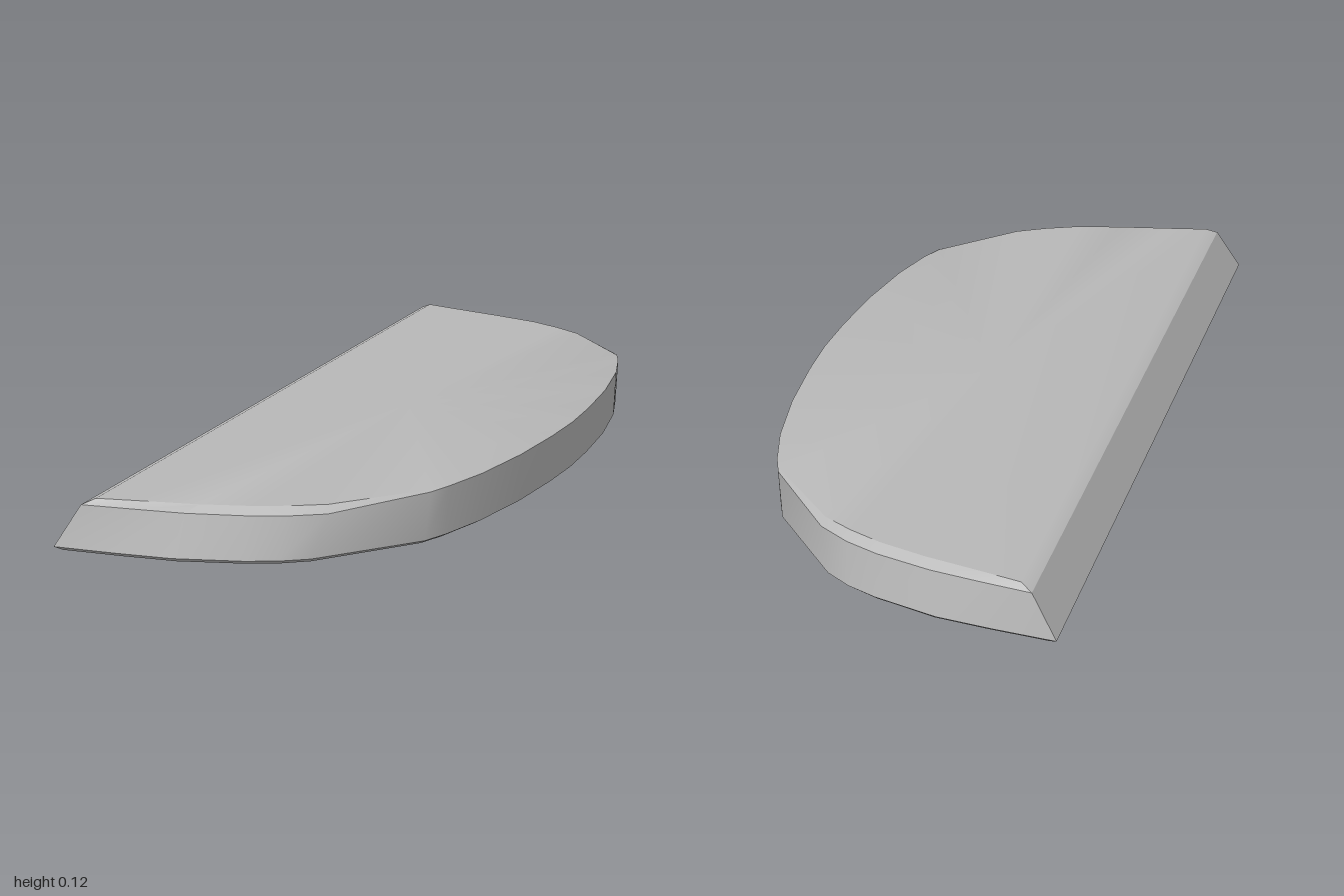
import * as THREE from 'three';
import { toCreasedNormals } from 'three/addons/utils/BufferGeometryUtils.js';

// Half of the rim, from the straight edge to the crown of the curve:
// lower edge x, z | upper edge x, y, z | top face x, y, z
const RIM = [
  [-0.425, 1.0, -0.365, 0.107, 0.98, -0.337, 0.12, 0.963],
  [-0.28, 0.988, -0.25, 0.107, 0.965, -0.24, 0.12, 0.942],
  [-0.15, 0.973, -0.13, 0.106, 0.945, -0.11, 0.12, 0.915],
  [0.0, 0.93, 0.0, 0.106, 0.91, 0.0, 0.121, 0.885],
  [0.07, 0.9, 0.08, 0.105, 0.875, 0.08, 0.121, 0.85],
  [0.13, 0.86, 0.155, 0.104, 0.825, 0.15, 0.121, 0.81],
  [0.31, 0.65, 0.32, 0.12, 0.64, 0.315, 0.123, 0.635],
  [0.335, 0.59, 0.342, 0.121, 0.585, 0.338, 0.123, 0.582],
  [0.37, 0.47, 0.375, 0.121, 0.47, 0.371, 0.123, 0.467],
  [0.4, 0.3, 0.404, 0.121, 0.3, 0.4, 0.123, 0.298],
  [0.415, 0.13, 0.419, 0.121, 0.13, 0.415, 0.123, 0.13],
  [0.42, 0, 0.424, 0.121, 0, 0.42, 0.123, 0],
];

// Mirror a half ring across z = 0
function fullRing(half) {
  const mirrored = half.slice(0, -1).reverse().map(([x, y, z]) => [x, y, -z]);
  return [...half, ...mirrored];
}

function createSlabGeometry() {
  const rings = [
    RIM.map((p) => [p[0] * 0.96, 0, p[1] * 0.988]),
    RIM.map((p) => [p[0], 0.009, p[1]]),
    RIM.map((p) => [p[2], p[3], p[4]]),
    RIM.map((p) => [p[5], p[6], p[7]]),
  ].map(fullRing);
  const n = rings[0].length;
  const positions = rings.flat(2);
  const indices = [];

  // Walls and small bevels, including the sloped straight edge
  for (let r = 0; r < rings.length - 1; r++) {
    for (let i = 0; i < n; i++) {
      const j = (i + 1) % n;
      const a = r * n + i, b = r * n + j;
      indices.push(a, b, b + n, a, b + n, a + n);
    }
  }

  // Flat top and underside
  const bottomCentre = positions.length / 3;
  positions.push(0, 0, 0, 0, 0.1215, 0);
  const top = (rings.length - 1) * n;
  for (let i = 0; i < n; i++) {
    const j = (i + 1) % n;
    indices.push(bottomCentre, j, i);
    indices.push(bottomCentre + 1, top + i, top + j);
  }

  const geometry = new THREE.BufferGeometry();
  geometry.setAttribute('position', new THREE.Float32BufferAttribute(positions, 3));
  geometry.setIndex(indices);
  return toCreasedNormals(geometry, 0.5);
}

export function createModel() {
  const group = new THREE.Group();
  group.name = 'halfRoundSlab';
  const grey = new THREE.MeshStandardMaterial({ color: 0xb8b8b8 });
  grey.name = 'light grey';
  const slab = new THREE.Mesh(createSlabGeometry(), grey);
  slab.name = 'slab';
  group.add(slab);
  return group;
}
